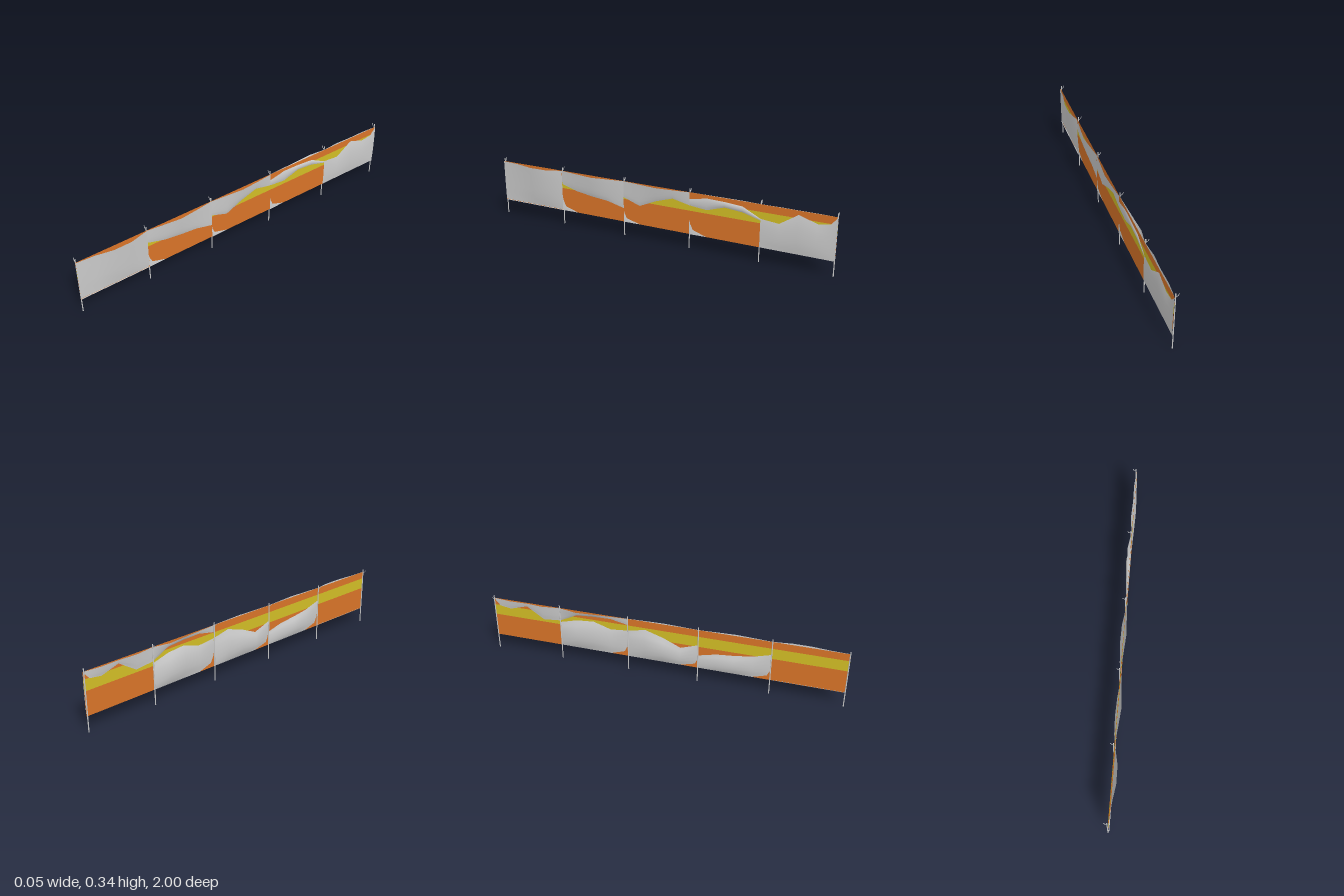
import * as THREE from 'three';

const BOTTOM = 0.085, TOP = 0.325, POST_X = -0.005;

// Each panel is a list of columns: [z, top bulge, y of crossing, belly below it, (next crossing, belly)].
// A cloth column swings through x = 0 at each crossing.
const PANELS = [
  [[1, 0.003, 0.088, 0], [0.9, 0.009, 0.088, 0], [0.8, 0.025, 0.088, 0], [0.7, 0.024, 0.088, 0], [0.6, 0.003, 0.088, 0]],
  [[0.6, 0.002, 0.245, 0], [0.5, 0.012, 0.215, -0.011], [0.4, 0.021, 0.2, -0.015], [0.3, 0.012, 0.19, -0.011], [0.2, 0.002, 0.165, -0.002]],
  [[0.2, 0.002, 0.23, 0], [0.1, 0.009, 0.195, -0.013], [0, 0.016, 0.24, -0.02], [-0.1, 0.01, 0.272, -0.017], [-0.2, 0.002, 0.25, -0.002]],
  [[-0.2, -0.001, 0.25, 0, 0.285, 0.002], [-0.3, -0.006, 0.24, -0.01, 0.306, 0.004], [-0.4, -0.011, 0.272, -0.016, 0.303, 0.005],
    [-0.5, -0.017, 0.263, -0.023, 0.295, 0.004], [-0.6, -0.002, 0.235, -0.002, 0.245, 0.001]],
  [[-0.6, -0.002, 0.245, 0.002], [-0.7, -0.012, 0.235, 0.006], [-0.8, -0.007, 0.302, 0.01],
    [-0.9, -0.009, 0.27, 0.007], [-0.965, -0.004, 0.28, 0.003], [-1, 0.001, 0.322, 0.003]],
];

// Points up one cloth column
function columnPoints([z, top, ...cuts]) {
  const pts = [];
  let y0 = BOTTOM;
  for (let k = 0; k < cuts.length; k += 2) {
    const y1 = cuts[k], belly = cuts[k + 1];
    for (let i = 0; i < 6; i++) {
      const s = i / 6;
      // Columns without a belly are tied to a post and twist a little instead
      const x = belly ? belly * Math.sin(Math.PI * s) ** 0.7 : 0.003 * (1 - 2 * s) * (1 - s);
      pts.push([x, y0 + (y1 - y0) * s, z]);
    }
    y0 = y1;
  }
  const yTop = TOP - 0.25 * Math.abs(top);
  for (let i = 0; i <= 5; i++) {
    const s = i / 5;
    pts.push([top * s ** 0.7, y0 + (yTop - y0) * s, z]);
  }
  return pts;
}

function clothGeometry(columns) {
  const rows = columns.map(columnPoints), n = rows[0].length, index = [];
  for (let c = 0; c < rows.length - 1; c++) {
    for (let r = 0; r < n - 1; r++) {
      const a = c * n + r, b = a + n;
      index.push(a, b, a + 1, b, b + 1, a + 1);
    }
  }
  const geo = new THREE.BufferGeometry();
  geo.setAttribute('position', new THREE.Float32BufferAttribute(rows.flat(2), 3));
  geo.setIndex(index);
  geo.computeVertexNormals();
  return geo;
}

export function createModel() {
  const group = new THREE.Group();
  const add = (name, geo, mat, x = 0, y = 0, z = 0) => {
    const mesh = new THREE.Mesh(geo, mat);
    mesh.name = name;
    mesh.position.set(x, y, z);
    group.add(mesh);
  };
  const sheet = (color) => new THREE.MeshStandardMaterial({ color, side: THREE.DoubleSide });
  const grey = new THREE.MeshStandardMaterial({ color: 0xcccccc });
  const cloth = sheet(0xcccccc), orange = sheet(0xd97428), yellow = sheet(0xd2be26);

  // Flat striped banner
  const stripes = [['lowerStripe', BOTTOM, 0.22, orange], ['middleStripe', 0.22, 0.283, yellow], ['upperStripe', 0.283, TOP, orange]];
  for (const [name, y0, y1, mat] of stripes) {
    const geo = new THREE.PlaneGeometry(2, y1 - y0).rotateY(Math.PI / 2);
    add(name, geo, mat, 0, (y0 + y1) / 2, 0);
  }

  // Billowing cloth, one piece between each pair of posts
  PANELS.forEach((columns, i) => add('clothPanel' + (i + 1), clothGeometry(columns), cloth));

  // Thin posts, each with a small curled hook at the top
  const postGeo = new THREE.CylinderGeometry(0.003, 0.003, 0.342, 8);
  const hookPath = new THREE.CatmullRomCurve3([
    [0, 0.327], [-0.007, 0.326], [-0.013, 0.331], [-0.018, 0.342],
  ].map(([x, y]) => new THREE.Vector3(x, y, 0)));
  const hookGeo = new THREE.TubeGeometry(hookPath, 10, 0.0016, 6);
  for (let i = 0; i < 6; i++) {
    const z = 0.997 * (1 - 0.4 * i);
    add('post' + (i + 1), postGeo, grey, POST_X, 0.171, z);
    add('hook' + (i + 1), hookGeo, grey, POST_X, 0, z);
  }
  return group;
}
